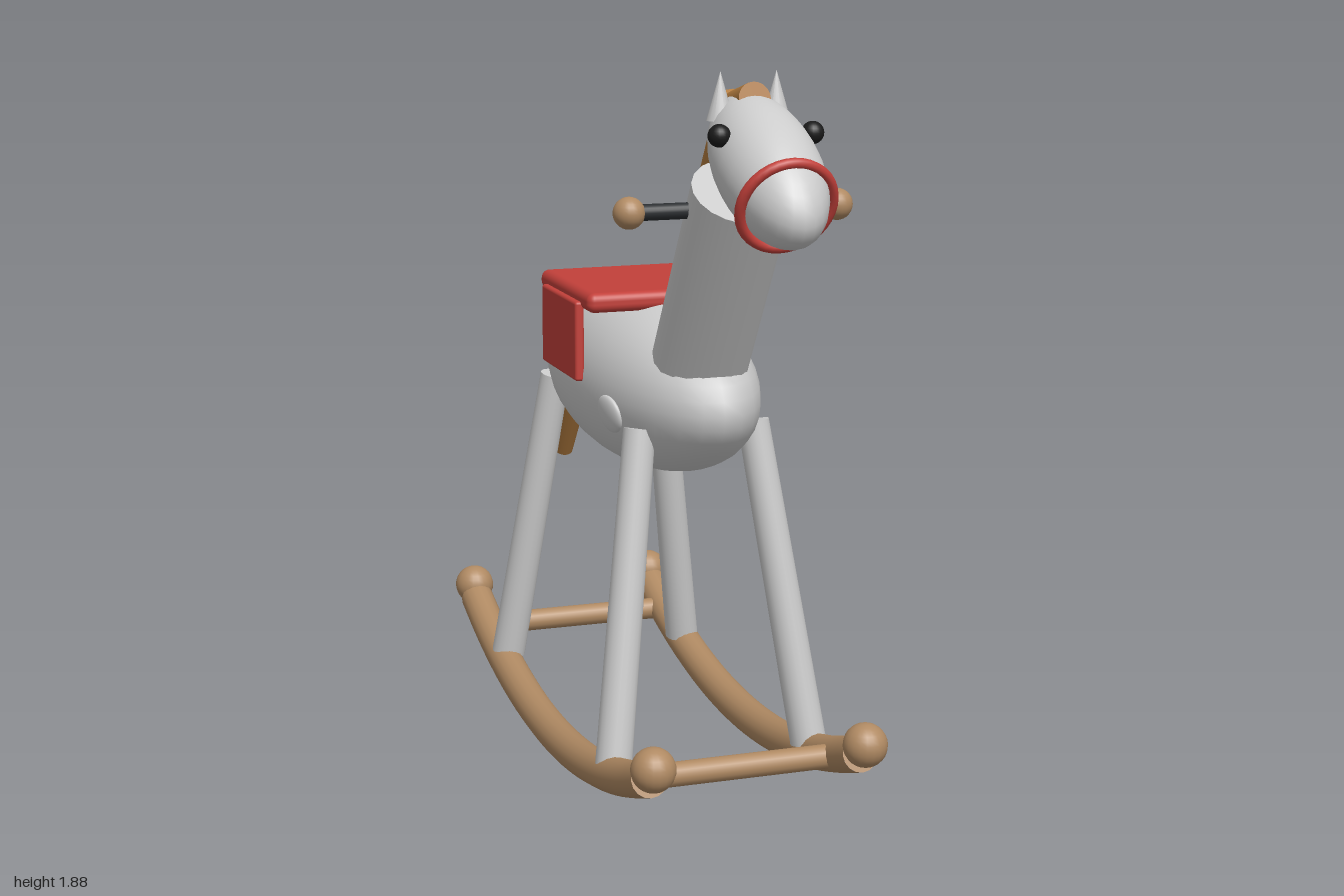
import * as THREE from 'three';
import { RoundedBoxGeometry } from 'three/addons/geometries/RoundedBoxGeometry.js';

const mat = (color) => new THREE.MeshStandardMaterial({ color });

export function createModel() {
  const root = new THREE.Group();
  const coat = mat(0xcccccc), wood = mat(0xb08a63), hair = mat(0xb07a3e);
  const red = mat(0xc2403a), dark = mat(0x2a2d30), black = mat(0x1a1a1a);

  const add = (name, geometry, material, x = 0, y = 0, z = 0) => {
    const mesh = new THREE.Mesh(geometry, material);
    mesh.name = name;
    mesh.position.set(x, y, z);
    root.add(mesh);
    return mesh;
  };
  const ball = (name, r, material, x, y, z) =>
    add(name, new THREE.SphereGeometry(r, 20, 14), material, x, y, z);
  const ellipsoid = (name, rx, ry, rz, material, x, y, z) => {
    const mesh = add(name, new THREE.SphereGeometry(1, 28, 20), material, x, y, z);
    mesh.scale.set(rx, ry, rz);
    return mesh;
  };
  // Round bar from point a (radius ra) to point b (radius rb)
  const bar = (name, a, b, ra, rb, material) => {
    const from = new THREE.Vector3(...a), to = new THREE.Vector3(...b);
    const dir = to.clone().sub(from);
    const mesh = add(name, new THREE.CylinderGeometry(rb, ra, dir.length(), 20), material);
    mesh.position.copy(from).add(to).multiplyScalar(0.5);
    mesh.quaternion.setFromUnitVectors(new THREE.Vector3(0, 1, 0), dir.normalize());
    return mesh;
  };

  // Body, neck and head
  ellipsoid('body', 0.227, 0.232, 0.59, coat, 0, 1.025, -0.098);
  bar('neck', [0, 1.0, 0.22], [0, 1.598, 0.598], 0.123, 0.123, coat);
  ellipsoid('head', 0.122, 0.125, 0.262, coat, 0, 1.667, 0.764).rotation.x = 0.5;

  // Noseband around the muzzle
  add('noseband', new THREE.TorusGeometry(0.112, 0.013, 10, 36), red, 0, 1.598, 0.885).rotation.x = 0.43;

  // Mane, forelock and tail
  bar('mane', [0, 1.16, 0.155], [0, 1.804, 0.576], 0.055, 0.055, hair);
  bar('forelock', [0, 1.795, 0.565], [0, 1.823, 0.678], 0.04, 0.04, hair);
  bar('tail', [0, 1.08, -0.667], [0, 0.64, -0.915], 0.062, 0.027, hair);

  // Handle through the neck
  bar('handleBar', [-0.26, 1.55, 0.545], [0.26, 1.55, 0.545], 0.02, 0.02, dark);

  // Saddle pad
  add('saddle', new RoundedBoxGeometry(0.45, 0.052, 0.452, 4, 0.022), red, 0, 1.254, -0.141);

  // Rocker arc, radius and half angle, lowest at z = -0.095
  const R = 2.23, half = 0.376;
  const arc = [];
  for (let i = 0; i <= 12; i++) {
    const t = -half + (2 * half * i) / 12;
    arc.push([0.049 + R * (1 - Math.cos(t)), -0.095 + R * Math.sin(t)]);
  }

  // Paired parts
  for (const s of [-1, 1]) {
    const side = s > 0 ? 'left' : 'right';
    ball(side + 'Eye', 0.027, black, s * 0.115, 1.748, 0.753);
    add(side + 'Ear', new THREE.ConeGeometry(0.033, 0.115, 16), coat, s * 0.07, 1.828, 0.635);
    ball(side + 'HandleKnob', 0.039, wood, s * 0.265, 1.55, 0.545);
    add(side + 'SaddleFlap', new RoundedBoxGeometry(0.025, 0.21, 0.313, 3, 0.008), red, s * 0.2275, 1.145, -0.1415);
    bar(side + 'FrontLeg', [s * 0.265, 0.13, 0.407], [s * 0.153, 0.965, 0.28], 0.047, 0.041, coat);
    bar(side + 'BackLeg', [s * 0.265, 0.13, -0.595], [s * 0.153, 0.965, -0.47], 0.047, 0.041, coat);

    // Rocker with a ball at each end
    const path = new THREE.CatmullRomCurve3(arc.map(([y, z]) => new THREE.Vector3(s * 0.275, y, z)));
    add(side + 'Rocker', new THREE.TubeGeometry(path, 36, 0.047, 16, false), wood);
    // Flat discs closing the rocker ends
    for (const [end, t] of [[0, -half], [1, half]]) {
      const p = arc[end * 12];
      const cap = add(side + 'RockerEnd', new THREE.CircleGeometry(0.047, 16), wood, s * 0.275, p[0], p[1]);
      cap.rotation.x = end ? -t : Math.PI - t;
      ball(side + 'RockerBall', 0.056, wood, s * 0.275, 0.237, end ? 0.753 : -0.942);
    }
  }

  // Cross bars between the rockers
  for (const [name, z] of [['frontCrossBar', 0.587], ['backCrossBar', -0.79]])
    bar(name, [-0.275, 0.155, z], [0.275, 0.155, z], 0.031, 0.031, wood);

  // Raised coat spots: side, y, z, radius
  for (const [s, y, z, r] of [[1, 1.0, 0.05, 0.055], [1, 1.1, -0.415, 0.062], [-1, 0.985, 0.175, 0.055], [-1, 1.08, -0.31, 0.055]]) {
    const v = (y - 1.025) / 0.232, w = (z + 0.098) / 0.59;
    const x = s * 0.227 * Math.sqrt(1 - v * v - w * w);
    const spot = ellipsoid('coatSpot', r, r * 0.9, 0.016, coat, x, y, z);
    // Lay the spot flat on the body surface
    const normal = new THREE.Vector3(x / 0.227 ** 2, v / 0.232, w / 0.59).normalize();
    spot.quaternion.setFromUnitVectors(new THREE.Vector3(0, 0, 1), normal);
  }
  return root;
}
